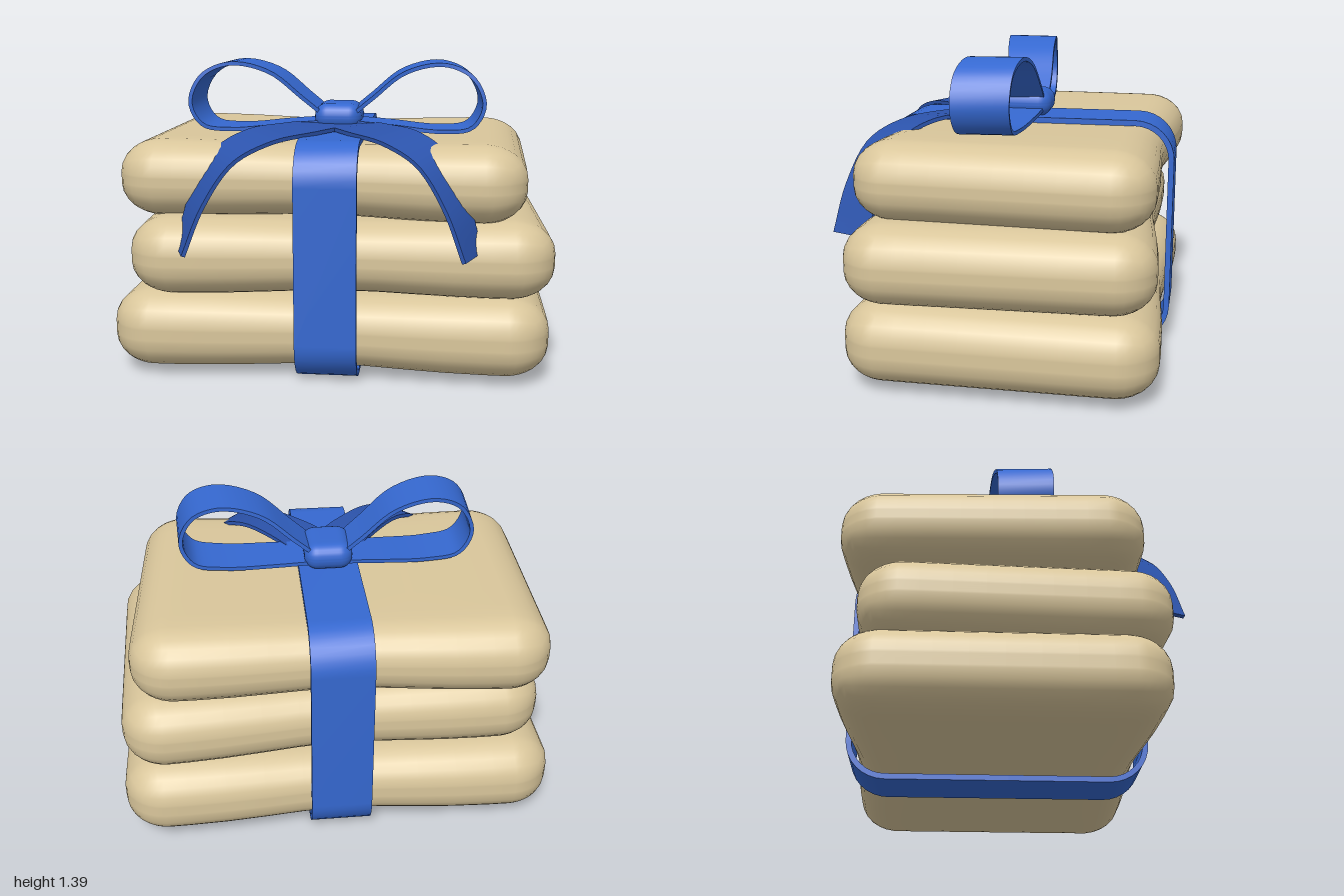
import * as THREE from 'three';
import { mergeVertices } from 'three/addons/utils/BufferGeometryUtils.js';

const CX = -0.012; // ribbon centre line

// Soft rounded block, rounded by an ellipsoid of radii r and drawn in at its waist (x = 0)
function cushion(w, h, d, r, pinchY = 0, pinchZ = 0) {
  const half = [w / 2, h / 2, d / 2];
  let g = new THREE.BoxGeometry(2, 2, 2, 18, 12, 14);
  g.deleteAttribute('uv');
  g.deleteAttribute('normal');
  g = mergeVertices(g, 1e-4);
  const pos = g.attributes.position;
  for (let i = 0; i < pos.count; i++) {
    const c = [pos.getX(i), pos.getY(i), pos.getZ(i)];
    const inner = [], u = [];
    c.forEach((t, k) => {
      // the outer part of each axis becomes the rounding
      const a = Math.abs(t), s = Math.sign(t), edge = 0.5, flat = half[k] - r[k];
      inner[k] = s * flat * Math.min(a / edge, 1);
      u[k] = s * Math.tan(Math.max(0, (a - edge) / (1 - edge)) * Math.PI / 4);
    });
    const len = Math.hypot(...u) || 1;
    const p = inner.map((v, k) => v + r[k] * u[k] / len);
    const waist = Math.exp(-((p[0] / 0.42) ** 2));
    pos.setXYZ(i, p[0], p[1] * (1 - pinchY * waist), p[2] * (1 - pinchZ * waist));
  }
  g.computeVertexNormals();
  return g;
}

// Flat strip swept along points; half(i) gives the half-width vector
function ribbon(points, half, thickness, closed = false) {
  const n = points.length, verts = [], index = [];
  const rings = points.map((p, i) => {
    const a = points[closed ? (i + n - 1) % n : Math.max(i - 1, 0)];
    const b = points[closed ? (i + 1) % n : Math.min(i + 1, n - 1)];
    const w = half(i / (n - 1));
    const nor = b.clone().sub(a).cross(w).normalize().multiplyScalar(thickness / 2);
    return [[1, 1], [-1, 1], [-1, -1], [1, -1]].map(([s, t]) =>
      p.clone().addScaledVector(w, s).addScaledVector(nor, t));
  });
  if (closed) rings.push(rings[0]);
  for (let k = 0; k < 4; k++) {
    const start = verts.length / 3;
    rings.forEach((ring, i) => {
      verts.push(...ring[k].toArray(), ...ring[(k + 1) % 4].toArray());
      const o = start + i * 2;
      if (i < rings.length - 1) index.push(o, o + 1, o + 3, o, o + 3, o + 2);
    });
  }
  if (!closed) {
    [[rings[0], [0, 3, 2, 1]], [rings[n - 1], [0, 1, 2, 3]]].forEach(([ring, order]) => {
      const o = verts.length / 3;
      order.forEach((k) => verts.push(...ring[k].toArray()));
      index.push(o, o + 1, o + 2, o, o + 2, o + 3);
    });
  }
  const g = new THREE.BufferGeometry();
  g.setAttribute('position', new THREE.Float32BufferAttribute(verts, 3));
  g.setIndex(index);
  g.computeVertexNormals();
  return g;
}

const curve = (pts, side, count) => new THREE.CatmullRomCurve3(
  pts.map(([x, y, z]) => new THREE.Vector3(CX + side * x, y, z))).getPoints(count);

export function createModel() {
  const model = new THREE.Group();
  const material = (name, color) => {
    const m = new THREE.MeshStandardMaterial({ color });
    m.name = name;
    return m;
  };
  const tan = material('tanCloth', 0xd9c69b);
  const blue = material('blueRibbon', 0x3568d0);
  const darkBlue = material('darkBlueRibbon', 0x2c54ad);
  const add = (name, geometry, mat) => {
    const mesh = new THREE.Mesh(geometry, mat);
    mesh.name = name;
    model.add(mesh);
    return mesh;
  };

  // Three stacked cushions, each turned a little
  [
    ['bottomCushion', 1.97, 0.37, 1.36, -0.015, 0.205, -0.05, 0],
    ['middleCushion', 1.89, 0.36, 1.33, 0.025, 0.555, -0.02, 0.035],
    ['topCushion', 1.83, 0.355, 1.3, -0.04, 0.885, -0.07, -0.035],
  ].forEach(([name, w, h, d, x, y, z, turn]) => {
    const mesh = add(name, cushion(w, h, d, [0.2, 0.15, 0.19], 0.1, 0.06), tan);
    mesh.position.set(x, y, z);
    mesh.rotation.y = turn;
  });

  // Band wrapped round the stack
  const t = 0.026, r = 0.17, zf = 0.64 - t / 2, zb = -0.735 + t / 2, y0 = t / 2, y1 = 1.073 - t / 2;
  const loop = [new THREE.Vector3(CX, y0, 0)];
  [[zf - r, y0 + r, -1], [zf - r, y1 - r, 0], [zb + r, y1 - r, 1], [zb + r, y0 + r, 2]].forEach(([z, y, q]) => {
    for (let i = 0; i <= 8; i++) {
      const a = (q + i / 8) * Math.PI / 2;
      loop.push(new THREE.Vector3(CX, y + r * Math.sin(a), z + r * Math.cos(a)));
    }
  });
  add('band', ribbon(loop, () => new THREE.Vector3(0.137, 0, 0), t, true), blue);

  // Knot
  add('knot', cushion(0.22, 0.125, 0.26, [0.06, 0.055, 0.06]), blue).position.set(CX, 1.128, -0.02);

  // Bow loops and hanging tails, mirrored
  [1, -1].forEach((side) => {
    const label = side > 0 ? 'left' : 'right';
    const loopPath = curve([
      [0.04, 1.12, -0.02], [0.16, 1.22, -0.01], [0.31, 1.34, 0.01], [0.49, 1.38, 0.03], [0.62, 1.325, 0.05],
      [0.675, 1.2, 0.055], [0.62, 1.095, 0.05], [0.48, 1.073, 0.035], [0.25, 1.09, 0.0], [0.04, 1.105, -0.02],
    ], side, 44);
    add(label + 'BowLoop', ribbon(loopPath, (u) =>
      new THREE.Vector3(side * 0.008, 0, 0.1 + 0.026 * Math.sin(Math.PI * u)), 0.018), blue);

    const tailPath = curve([
      [0.02, 1.09, 0.03], [0.16, 1.09, 0.24], [0.32, 1.075, 0.42],
      [0.455, 1.0, 0.54], [0.56, 0.82, 0.61], [0.63, 0.605, 0.65],
    ], side, 26);
    add(label + 'Tail', ribbon(tailPath, (u) => {
      const a = 0.7 + 0.5 * u; // the width swings forward towards the tip
      return new THREE.Vector3(-side * Math.cos(a), -0.12 * Math.sin(Math.PI * u), Math.sin(a))
        .multiplyScalar(0.125 - 0.025 * u);
    }, 0.018), darkBlue);
  });

  return model;
}
